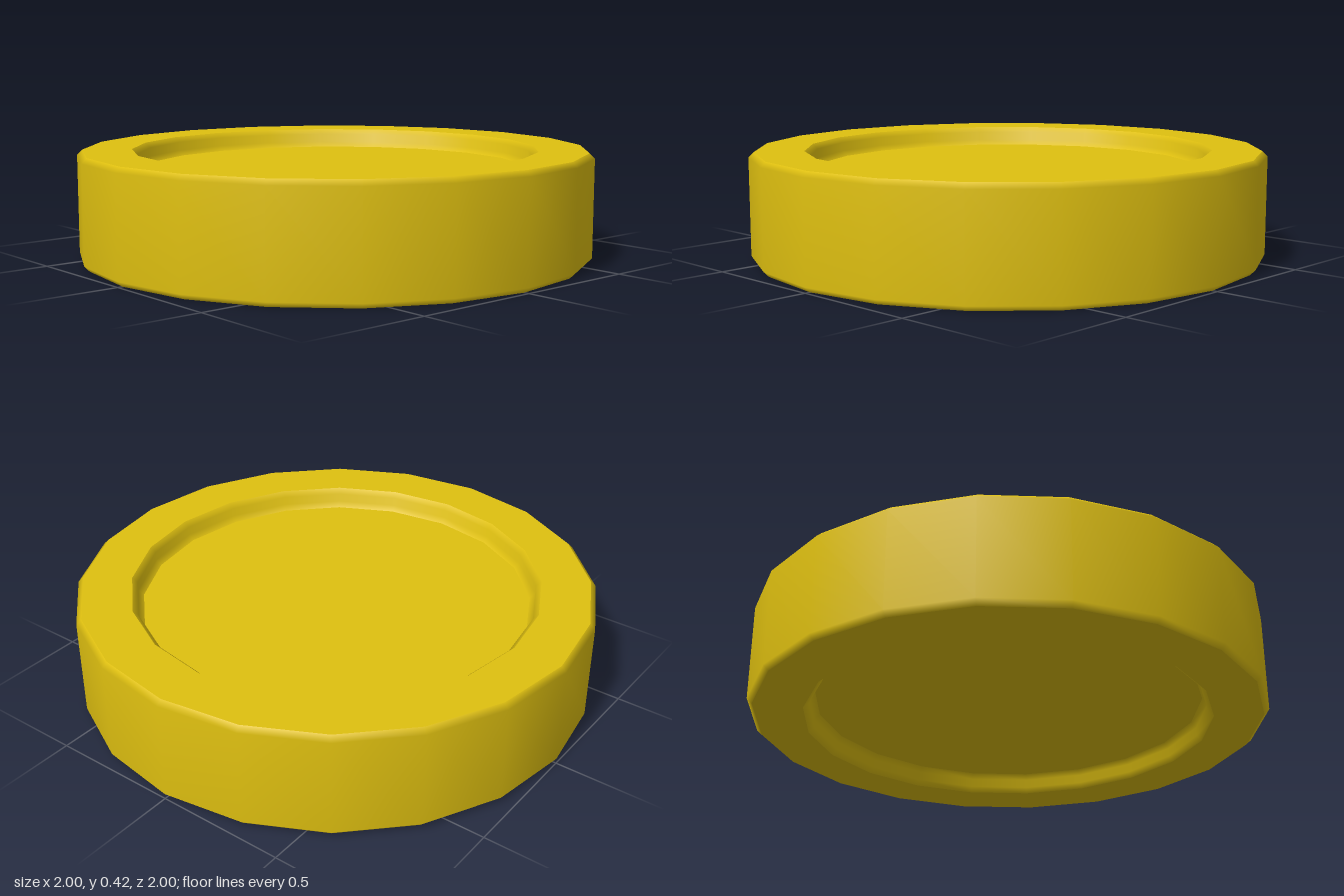
import * as THREE from 'three';

const SIDES = 20;
const HEIGHT = 0.42;
const BEVEL = 0.02;
const DEPTH = 0.075; // recess depth on each face

export function createModel() {
  const group = new THREE.Group();
  group.name = 'coin';
  const material = new THREE.MeshStandardMaterial({ color: 0xdfc010 });

  // Each band is its own lathe: smooth inside, sharp where bands meet.
  const band = (name, parent, profile) => {
    const points = profile.map(([r, y]) => new THREE.Vector2(r, y));
    const mesh = new THREE.Mesh(new THREE.LatheGeometry(points, SIDES), material);
    mesh.name = name;
    parent.add(mesh);
  };

  // Outer edge with softened corners
  band('outerEdge', group, [
    [1 - BEVEL, 0], [1, BEVEL], [1, HEIGHT - BEVEL], [1 - BEVEL, HEIGHT],
  ]);

  // Raised rim, recess wall and sunken disc, on both faces
  for (const side of ['top', 'bottom']) {
    const face = new THREE.Group();
    face.name = side + 'Face';
    band('rim', face, [[1 - BEVEL, HEIGHT], [0.79, HEIGHT]]);
    band('recessWall', face, [
      [0.79, HEIGHT], [0.77, HEIGHT - BEVEL],
      [0.77, HEIGHT - DEPTH + BEVEL], [0.75, HEIGHT - DEPTH],
    ]);
    band('disc', face, [[0.75, HEIGHT - DEPTH], [0, HEIGHT - DEPTH]]);
    if (side === 'bottom') {
      face.rotation.x = Math.PI;
      face.position.y = HEIGHT;
    }
    group.add(face);
  }
  return group;
}
